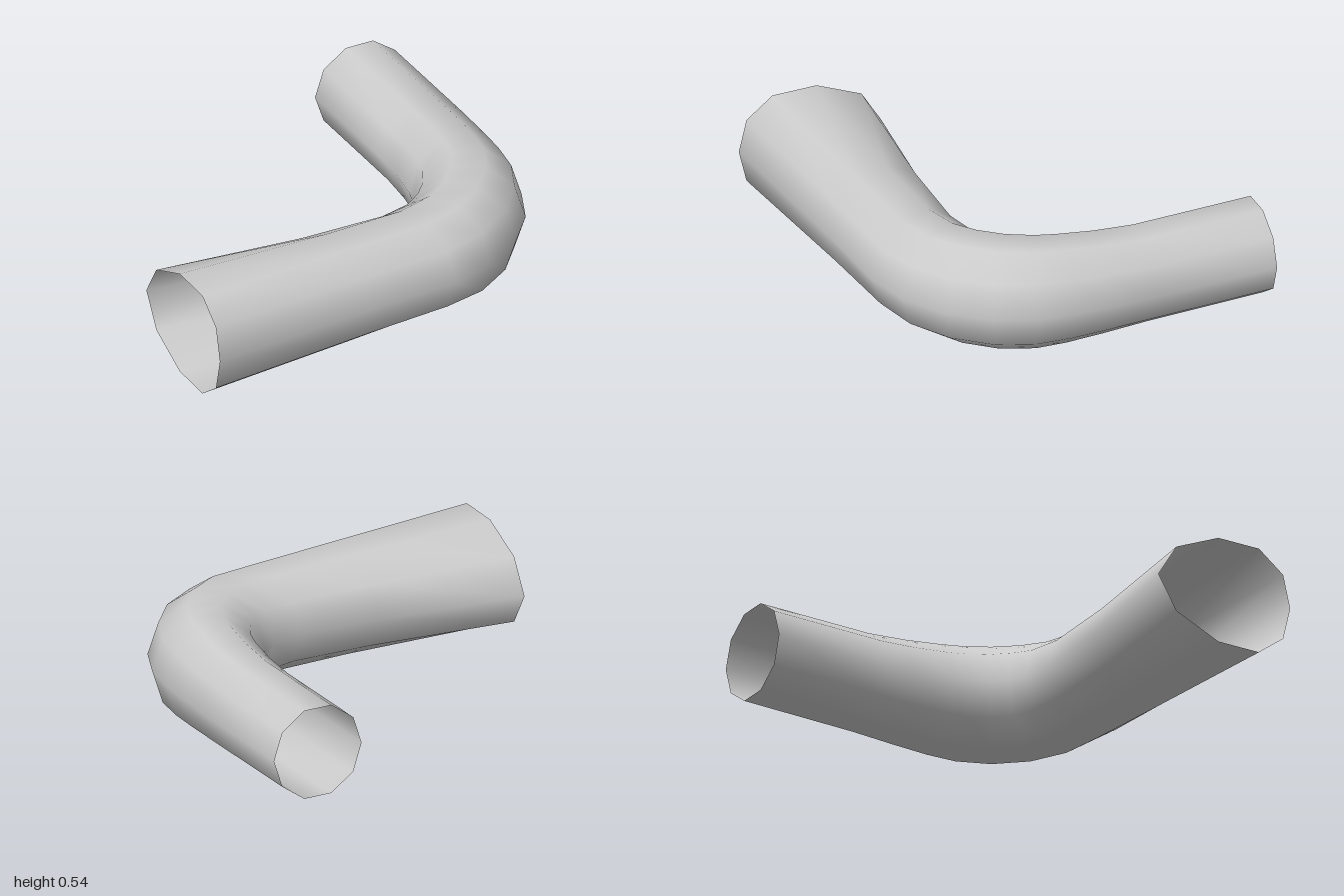
import * as THREE from 'three';

// Stations along the bend: inner x, z, outer x, z, half height
const STATIONS = [
  [-1.0, 0.21, -1.0, 0.94, 0.268],
  [-0.27, 0.3, -0.14, 0.865, 0.25],
  [0.14, 0.32, 0.31, 0.84, 0.243],
  [0.3, 0.29, 0.53, 0.78, 0.255],
  [0.37, 0.245, 0.73, 0.65, 0.263],
  [0.43, 0.18, 0.88, 0.47, 0.265],
  [0.48, 0.09, 0.96, 0.28, 0.262],
  [0.5, 0.02, 0.985, 0.1, 0.254],
  [0.525, -0.16, 0.995, -0.07, 0.24],
  [0.53, -0.33, 1.0, -0.33, 0.226],
  [0.515, -0.94, 0.985, -0.94, 0.224],
];
const SIDES = 10;
const CENTRE_Y = 0.27;

function bentPipeGeometry() {
  const positions = [];
  const index = [];
  STATIONS.forEach(([ix, iz, ox, oz, halfHeight], i) => {
    // the wide mouth leans its cross-section outwards, fading toward the bend
    const skew = Math.max(0, 1 - i / 2) * 0.12;
    for (let j = 0; j < SIDES; j++) {
      const a = (j / SIDES) * Math.PI * 2;
      const across = 0.5 + 0.5 * Math.cos(a) + skew * Math.sin(a) ** 2;
      positions.push(
        ix + (ox - ix) * across,
        CENTRE_Y + (halfHeight * Math.sin(a)) / Math.sin(Math.PI * 0.4),
        iz + (oz - iz) * across,
      );
      if (i < STATIONS.length - 1) {
        const p = i * SIDES + j;
        const q = i * SIDES + ((j + 1) % SIDES);
        index.push(p, p + SIDES, q, q, p + SIDES, q + SIDES);
      }
    }
  });
  const geometry = new THREE.BufferGeometry();
  geometry.setAttribute('position', new THREE.Float32BufferAttribute(positions, 3));
  geometry.setIndex(index);
  geometry.computeVertexNormals();
  return geometry;
}

export function createModel() {
  const group = new THREE.Group();
  group.name = 'pipeElbow';
  // Open-ended pipe with a rounded right-angle bend
  const pipe = new THREE.Mesh(
    bentPipeGeometry(),
    new THREE.MeshStandardMaterial({ color: 0xcccccc, side: THREE.DoubleSide }),
  );
  pipe.name = 'bentPipe';
  group.add(pipe);
  return group;
}
